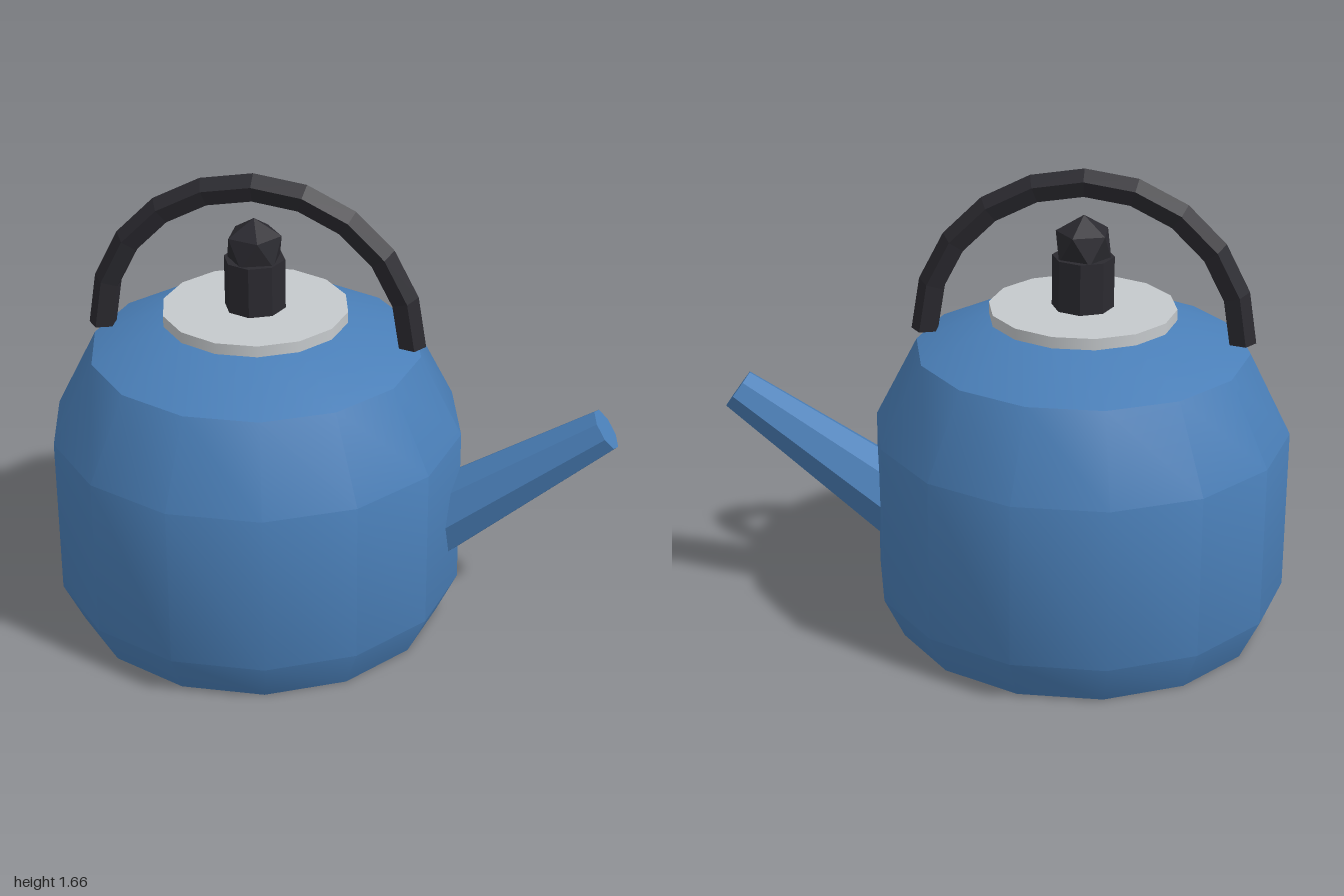
import * as THREE from 'three';
import { toCreasedNormals } from 'three/addons/utils/BufferGeometryUtils.js';

const CX = -0.273; // axis of the body

export function createModel() {
  const kettle = new THREE.Group();
  kettle.name = 'kettle';

  const paint = (name, color, flatShading = false) => {
    const m = new THREE.MeshStandardMaterial({ color });
    m.name = name;
    m.flatShading = flatShading;
    return m;
  };
  const blue = paint('blue enamel', 0x4a7fb8);
  const black = paint('black plastic', 0x2b2a30, true);
  const silver = paint('silver lid', 0xc5c9cc);

  const add = (name, geometry, material, x = CX, y = 0, parent = kettle) => {
    const mesh = new THREE.Mesh(geometry, material);
    mesh.name = name;
    mesh.position.set(x, y, 0);
    parent.add(mesh);
    return mesh;
  };

  // Body: fourteen-sided, smooth wall with sharp shoulder and base edges
  const profile = [[0, 0], [0.655, 0], [0.727, 0.15], [0.727, 0.73], [0.58, 1.02], [0.325, 1.13], [0, 1.13]]
    .map(([r, y]) => new THREE.Vector2(r, y));
  const body = new THREE.LatheGeometry(profile, 14, Math.PI / 2);
  add('body', toCreasedNormals(body, THREE.MathUtils.degToRad(32)), blue);

  // Lid
  const lid = new THREE.CylinderGeometry(0.325, 0.325, 0.04, 14).rotateY(Math.PI / 2);
  add('lid', lid, silver, CX, 1.15);

  // Knob: stem with a faceted ball, one ball corner pointing up
  add('knobStem', new THREE.CylinderGeometry(0.107, 0.107, 0.18, 8), black, CX, 1.26);
  const tilt = Math.atan(2 / (1 + Math.sqrt(5)));
  add('knobBall', new THREE.IcosahedronGeometry(0.107, 0).rotateZ(-tilt), black, CX, 1.388);

  // Handle: five-sided half ring with closed ends
  const handle = new THREE.Group();
  handle.name = 'handle';
  handle.position.set(CX, 1.06, 0);
  kettle.add(handle);
  add('handleArc', new THREE.TorusGeometry(0.547, 0.05, 5, 10, Math.PI), black, 0, 0, handle);
  for (const side of [1, -1]) {
    const cap = new THREE.CircleGeometry(0.05, 5).rotateX(Math.PI / 2);
    if (side < 0) cap.rotateY(Math.PI);
    add('handleEnd', cap, black, side * 0.547, 0, handle);
  }

  // Spout: tapered eight-sided tube, its root inside the body
  const length = 0.8;
  const angle = THREE.MathUtils.degToRad(35);
  const spoutGeometry = new THREE.CylinderGeometry(0.078, 0.148, length, 8).translate(0, -length / 2, 0);
  const spout = add('spout', toCreasedNormals(spoutGeometry, 0.4), blue, 0.955, 0.797);
  spout.rotation.z = angle - Math.PI / 2;

  return kettle;
}
